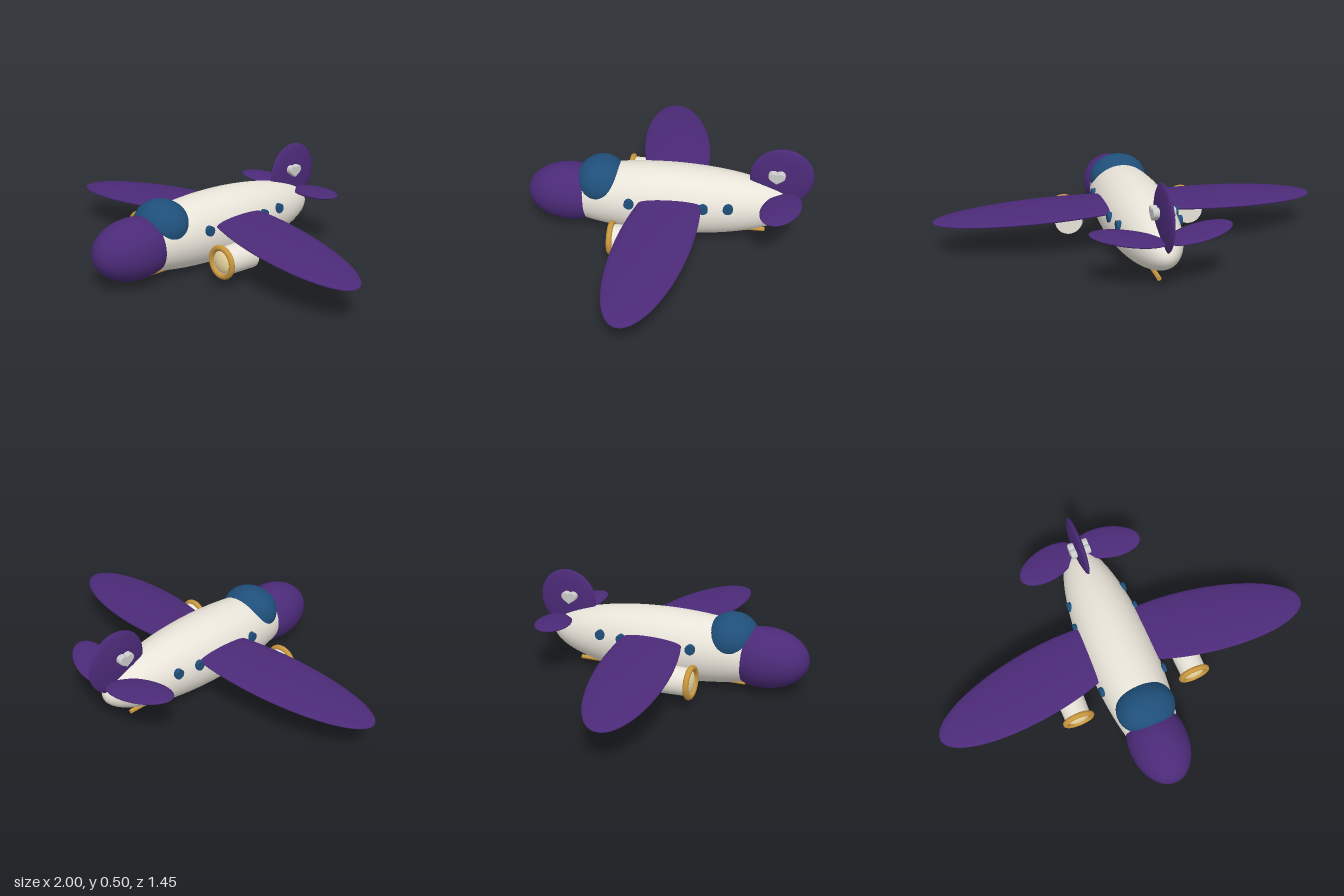
import * as THREE from 'three';

const paint = (color) => new THREE.MeshStandardMaterial({ color });
const cream = paint(0xe9e4d9), purple = paint(0x4b2a78), blue = paint(0x1f4f7a);
const gold = paint(0xc8963e), pale = paint(0xecd9a0), silver = paint(0xcccccc);

export function createModel() {
  const model = new THREE.Group();
  model.name = 'toyPlane';

  const add = (name, geometry, material, x, y, z, parent = model) => {
    const mesh = new THREE.Mesh(geometry, material);
    mesh.name = name;
    mesh.position.set(x, y, z);
    parent.add(mesh);
    return mesh;
  };
  // Ellipsoid with its poles along z
  const ellipsoid = (name, material, [x, y, z], [rx, ry, rz], parent) => {
    const geometry = new THREE.SphereGeometry(1, 48, 32).rotateX(Math.PI / 2).scale(rx, ry, rz);
    return add(name, geometry, material, x, y, z, parent);
  };

  // Body, nose, cockpit canopy and round tail fin
  ellipsoid('fuselage', cream, [0, 0.182, 0], [0.179, 0.18, 0.65]);
  ellipsoid('nose', purple, [0, 0.178, 0.505], [0.15, 0.15, 0.22]);
  ellipsoid('canopy', blue, [0, 0.26, 0.338], [0.15, 0.123, 0.13]);
  ellipsoid('tailFin', purple, [0, 0.345, -0.567], [0.023, 0.158, 0.158]);

  // Keel rod, showing below the body at both ends
  add('keelRod', new THREE.CylinderGeometry(0.011, 0.011, 0.91, 20).rotateX(Math.PI / 2), gold, 0, 0.023, -0.045);

  // Heart emblem outline, centred on the origin
  const heart = new THREE.Shape();
  heart.moveTo(0, 0.016);
  heart.bezierCurveTo(0.005, 0.03, 0.037, 0.032, 0.037, 0.008);
  heart.bezierCurveTo(0.037, -0.008, 0.014, -0.015, 0, -0.027);
  heart.bezierCurveTo(-0.014, -0.015, -0.037, -0.008, -0.037, 0.008);
  heart.bezierCurveTo(-0.037, 0.032, -0.005, 0.03, 0, 0.016);
  const heartGeometry = new THREE.ExtrudeGeometry(heart, {
    depth: 0.022, bevelEnabled: true, bevelSize: 0.005, bevelThickness: 0.005, bevelSegments: 3, curveSegments: 12,
  }).translate(0, 0, -0.011);

  for (const s of [1, -1]) {
    const side = s > 0 ? 'left' : 'right';

    // Wings sweep forward and droop; tailplanes sweep forward and rise
    const wing = ellipsoid(side + 'Wing', purple, [s * 0.448, 0.219, 0.008], [0.557, 0.027, 0.18]);
    wing.rotation.set(0, -s * 0.14, -s * 0.075);
    const tailplane = ellipsoid(side + 'Tailplane', purple, [s * 0.165, 0.266, -0.572], [0.176, 0.018, 0.092]);
    tailplane.rotation.set(0, -s * 0.31, s * 0.1);

    // Engine pod with intake ring and domed hub
    const engine = new THREE.Group();
    engine.name = side + 'Engine';
    engine.position.set(s * 0.32, 0.132, 0);
    model.add(engine);
    add('pod', new THREE.CylinderGeometry(0.066, 0.071, 0.175, 40).rotateX(Math.PI / 2), cream, 0, 0, 0.147, engine);
    add('intakeRing', new THREE.TorusGeometry(0.07, 0.014, 16, 48), gold, 0, 0, 0.236, engine);
    ellipsoid('hub', pale, [0, 0, 0.225], [0.058, 0.058, 0.025], engine);

    // Row of portholes following the body's curve
    for (let i = 0; i < 5; i++) {
      const z = 0.175 - i * 0.1225;
      const x = Math.sqrt(0.0324 * (1 - (z / 0.65) ** 2) - 0.0025);
      add(side + 'Porthole', new THREE.CylinderGeometry(0.025, 0.025, 0.024, 28).rotateZ(Math.PI / 2), blue, s * x, 0.23, z);
    }

    // Heart on each face of the fin
    const emblem = add(side + 'Heart', heartGeometry, silver, s * 0.037, 0.363, -0.542);
    emblem.rotation.y = s * Math.PI / 2;
  }
  return model;
}
